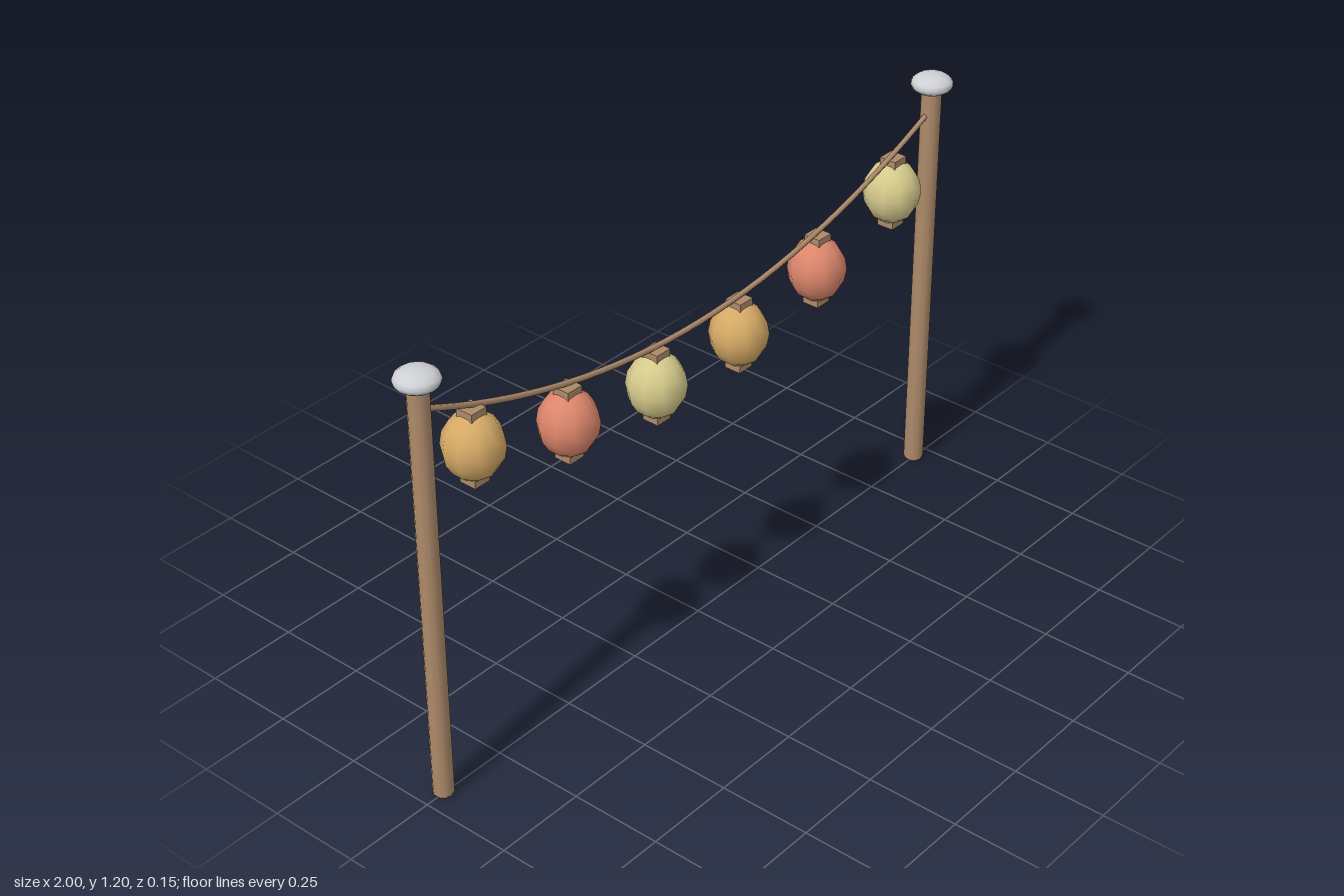
import * as THREE from 'three';

const mat = (name, color) => {
  const m = new THREE.MeshStandardMaterial({ color });
  m.name = name;
  return m;
};

export function createModel() {
  const wood = mat('wood', 0xad8a6a);
  const metal = mat('pale metal', 0xcfd0d4);
  const gold = mat('gold paper', 0xd6aa66);
  const coral = mat('coral paper', 0xdc866c);
  const cream = mat('cream paper', 0xd6cb8c);

  const group = new THREE.Group();
  group.name = 'lanternString';
  const add = (parent, name, geometry, material, x = 0, y = 0, z = 0) => {
    const mesh = new THREE.Mesh(geometry, material);
    mesh.name = name;
    mesh.position.set(x, y, z);
    parent.add(mesh);
    return mesh;
  };

  // Posts with a small bevel at the foot, topped by flattened knobs
  const postX = 0.944;
  const postGeo = new THREE.LatheGeometry(
    [[0, 0], [0.021, 0], [0.027, 0.008], [0.027, 1.16], [0, 1.16]].map(([r, y]) => new THREE.Vector2(r, y)), 10);
  const knobGeo = new THREE.SphereGeometry(0.056, 16, 8).scale(1, 0.5, 1);
  for (const side of [-1, 1]) {
    const name = side > 0 ? 'left' : 'right';
    add(group, name + 'Post', postGeo, wood, side * postX);
    add(group, name + 'Knob', knobGeo, metal, side * postX, 1.167);
  }

  // Sagging rope
  const ropeY = (x) => 0.875 + 0.215 * (x / postX) ** 2;
  const points = [];
  for (let i = 0; i <= 16; i++) {
    const x = postX * (i / 8 - 1);
    points.push(new THREE.Vector3(x, ropeY(x), 0));
  }
  add(group, 'rope', new THREE.TubeGeometry(new THREE.CatmullRomCurve3(points), 32, 0.0075, 6), wood);

  // Six paper lanterns, each with a wooden cap and base
  const paperGeo = new THREE.SphereGeometry(0.077, 10, 8).rotateY(Math.PI / 2).scale(1, 1.14, 1);
  const capGeo = new THREE.BoxGeometry(0.048, 0.024, 0.048);
  const papers = [gold, coral, cream];
  for (let i = 0; i < 6; i++) {
    const x = (i - 2.5) * 0.314;
    const lantern = new THREE.Group();
    lantern.name = 'lantern' + (i + 1);
    lantern.position.set(x, ropeY(x) - 0.107, 0);
    add(lantern, 'paperShade', paperGeo, papers[i % 3]);
    add(lantern, 'topCap', capGeo, wood, 0, 0.087);
    add(lantern, 'bottomCap', capGeo, wood, 0, -0.087);
    group.add(lantern);
  }
  return group;
}
